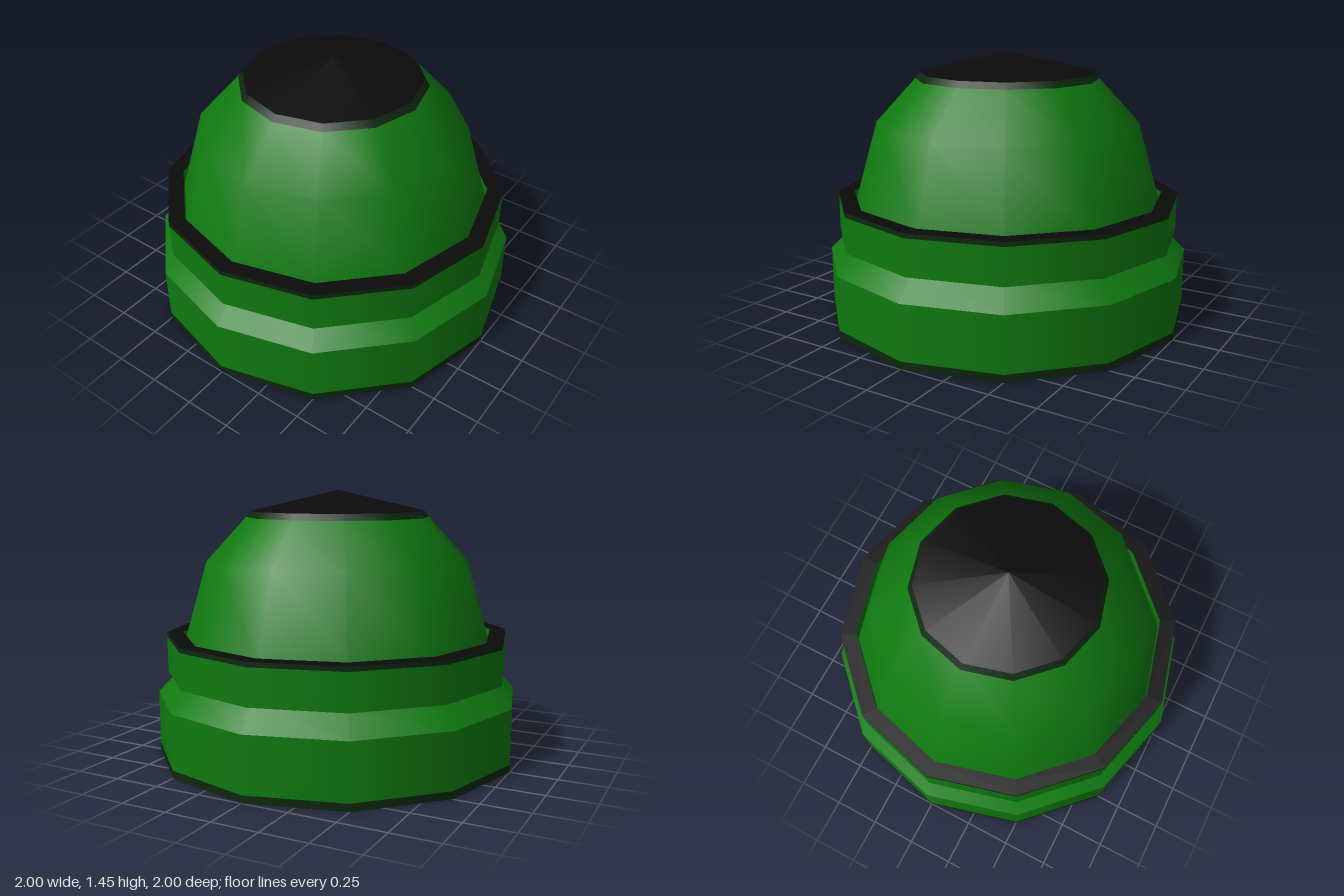
import * as THREE from 'three';

const SIDES = 12;

export function createModel() {
  const model = new THREE.Group();
  model.name = 'domedButton';

  const material = (name, color) => {
    const m = new THREE.MeshStandardMaterial({ color });
    m.name = name;
    return m;
  };
  const green = material('green', 0x107a10);
  const trim = material('darkGreenTrim', 0x0d260f);
  const black = material('black', 0x0b0b0c);

  // Each part is a twelve-sided band; separate bands keep the edges between them sharp.
  const band = (name, mat, profile) => {
    const points = profile.map(([r, y]) => new THREE.Vector2(r, y));
    const mesh = new THREE.Mesh(new THREE.LatheGeometry(points, SIDES), mat);
    mesh.name = name;
    model.add(mesh);
  };

  // Base with a bevelled shoulder and black underside
  band('baseUnderside', black, [[0, 0], [1, 0]]);
  band('baseTrim', trim, [[1, 0], [1, 0.04]]);
  band('baseWall', green, [[1, 0.04], [1, 0.335]]);
  band('baseShoulder', green, [[1, 0.335], [0.885, 0.45]]);

  // Collar ring with a black top rim
  band('collarUnderside', green, [[0.86, 0.45], [0.945, 0.45]]);
  band('collarWall', green, [[0.945, 0.45], [0.945, 0.643]]);
  band('collarTrim', trim, [[0.945, 0.643], [0.945, 0.668]]);
  band('collarRim', black, [[0.945, 0.668], [0.857, 0.668]]);
  band('collarInnerWall', green, [[0.857, 0.668], [0.857, 0.59]]);

  // Dome and its shallow black cap
  band('dome', green, [[0.857, 0.585], [0.833, 0.668], [0.72, 1.06], [0.5, 1.3]]);
  band('capTrim', trim, [[0.5, 1.3], [0.475, 1.333]]);
  band('cap', black, [[0.475, 1.333], [0, 1.445]]);

  return model;
}
